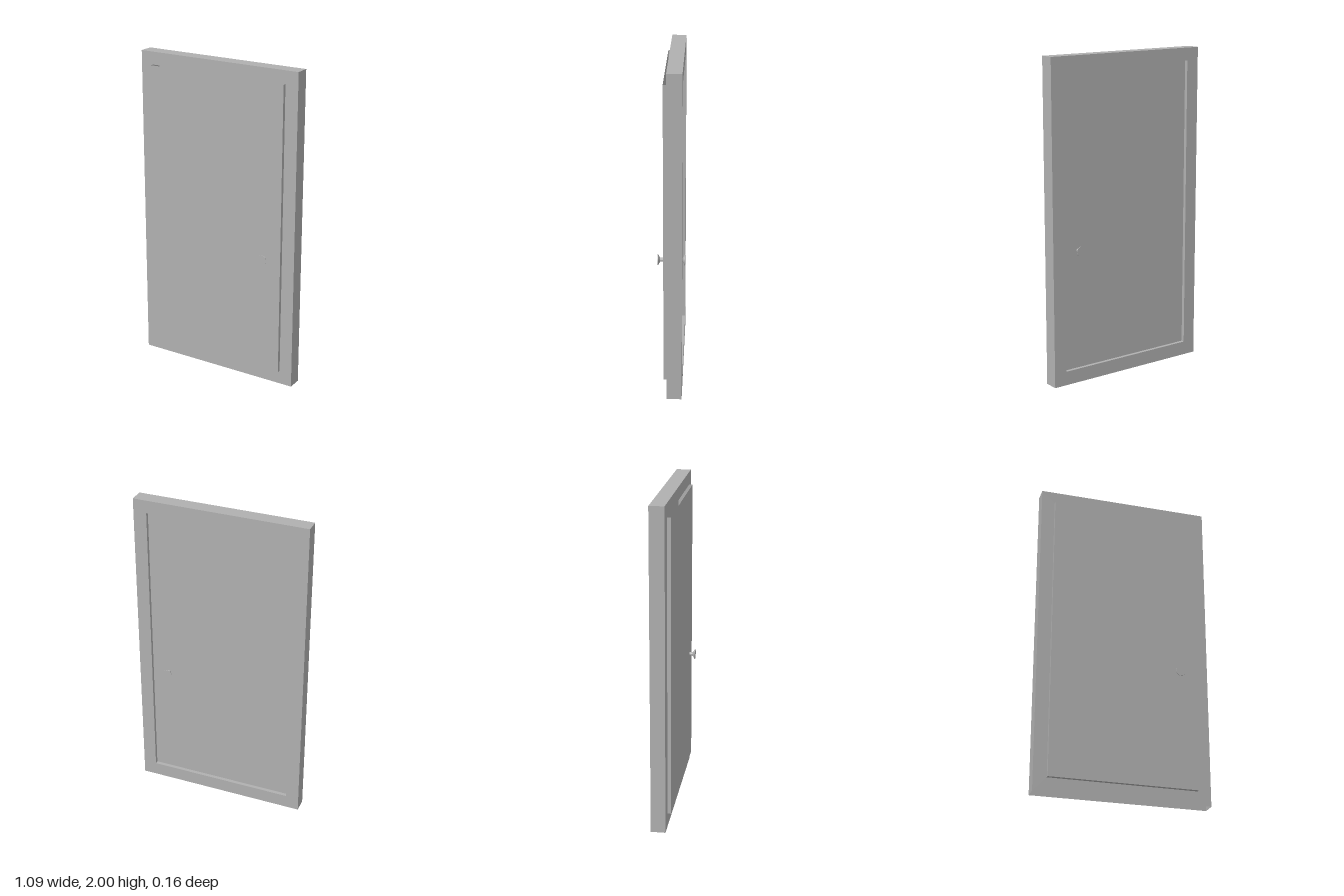
import * as THREE from 'three';

const grey = new THREE.MeshStandardMaterial({ color: 0xb0b0b0, side: THREE.DoubleSide });
grey.name = 'plain grey';

// Removes the horizontal faces of a geometry lying at height y
function openAt(geometry, y) {
  const source = geometry.index ? geometry.toNonIndexed() : geometry;
  const pos = source.attributes.position;
  const points = [];
  for (let i = 0; i < pos.count; i += 3) {
    const flat = [0, 1, 2].every((k) => Math.abs(pos.getY(i + k) - y) < 1e-4);
    if (flat) continue;
    for (let k = 0; k < 3; k++) points.push(pos.getX(i + k), pos.getY(i + k), pos.getZ(i + k));
  }
  const open = new THREE.BufferGeometry();
  open.setAttribute('position', new THREE.Float32BufferAttribute(points, 3));
  open.computeVertexNormals();
  return open;
}

function rectangle(Type, x, y0, y1) {
  return new Type([[-x, y0], [x, y0], [x, y1], [-x, y1]].map(([a, b]) => new THREE.Vector2(a, b)));
}

function add(group, name, geometry) {
  const mesh = new THREE.Mesh(geometry, grey);
  mesh.name = name;
  group.add(mesh);
  return mesh;
}

export function createModel() {
  const model = new THREE.Group();
  model.name = 'door';
  const halfWidth = 0.46, bottom = 0.087, top = 1.92;

  // Frame with a rectangular opening and an open underside
  const outline = rectangle(THREE.Shape, 0.543, 0, 2);
  outline.holes.push(rectangle(THREE.Path, halfWidth, bottom, top));
  const frame = new THREE.ExtrudeGeometry(outline, { depth: 0.09, bevelEnabled: false });
  frame.translate(0, 0, -0.067);
  add(model, 'frame', openAt(frame, 0));

  // Door leaf, open at the top, proud of the frame in front and recessed behind
  const leaf = new THREE.BoxGeometry(halfWidth * 2, top - bottom, 0.09);
  leaf.translate(0, (top + bottom) / 2, 0);
  add(model, 'doorLeaf', openAt(leaf, top));

  // Knobs: narrow stem flaring into a flat disc, one on each face
  const profile = [[0.012, 0.037], [0.012, 0.067], [0.032, 0.079], [0.032, 0.082], [0, 0.082]]
    .map(([r, h]) => new THREE.Vector2(r, h));
  const knob = openAt(new THREE.LatheGeometry(profile, 32), -1);
  for (const [name, side] of [['frontKnob', 1], ['backKnob', -1]]) {
    const mesh = add(model, name, knob);
    mesh.rotation.x = side * Math.PI / 2;
    mesh.position.set(0.352, 0.83, 0);
  }
  return model;
}
